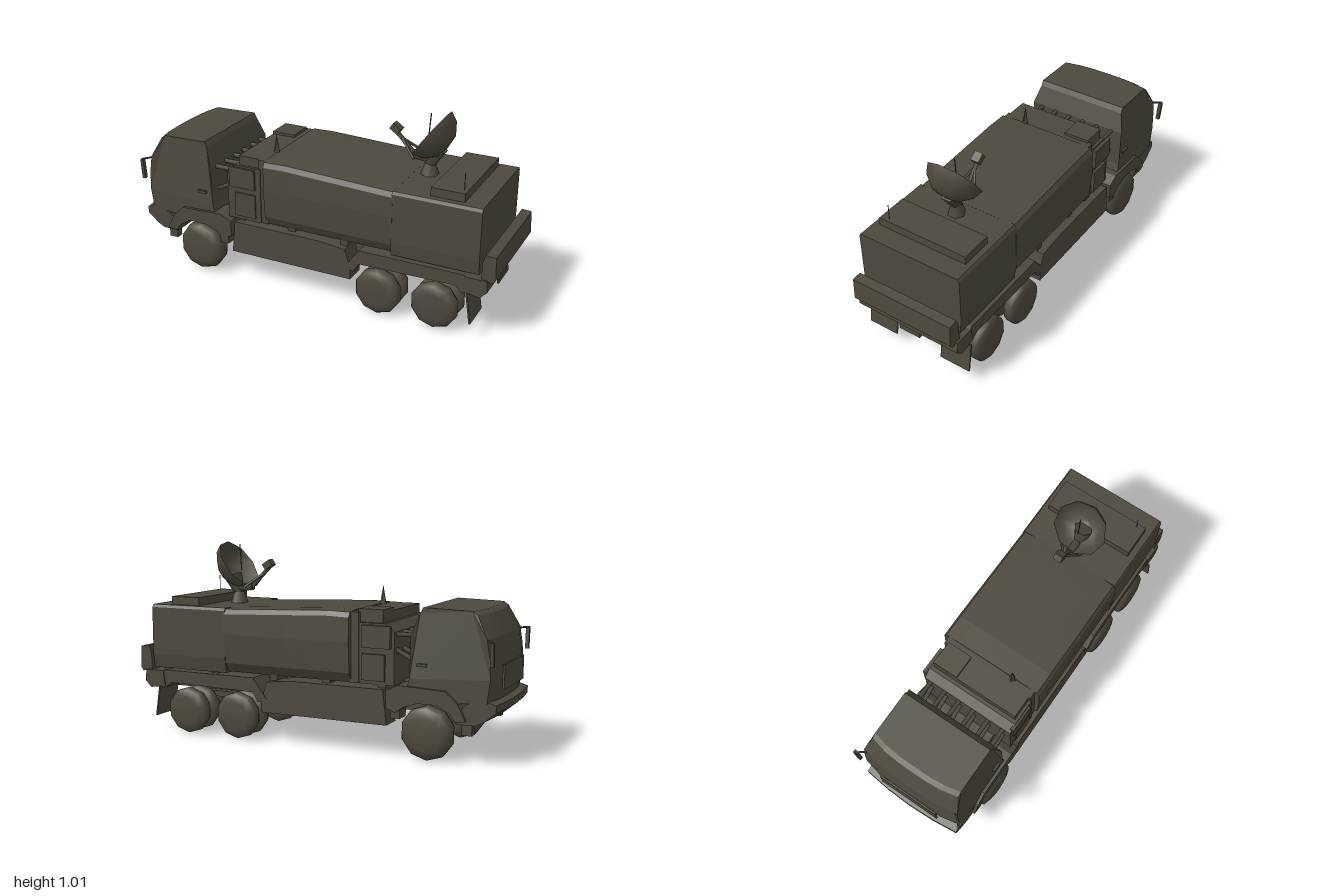
import * as THREE from 'three';

const olive = new THREE.MeshStandardMaterial({ color: 0x4d483d, side: THREE.DoubleSide });
olive.name = 'dark olive';

export function createModel() {
  const root = new THREE.Group();
  root.name = 'tankTruck';

  const add = (name, geo, x = 0, y = 0, z = 0) => {
    const m = new THREE.Mesh(geo, olive);
    m.name = name;
    m.position.set(x, y, z);
    root.add(m);
    return m;
  };
  // box given by its limits
  const box = (name, x0, x1, y0, y1, z0, z1) =>
    add(name, new THREE.BoxGeometry(x1 - x0, y1 - y0, z1 - z0), (x0 + x1) / 2, (y0 + y1) / 2, (z0 + z1) / 2);
  const vectors = pts => pts.map(p => new THREE.Vector2(...p));
  // side profile (x, y) swept across z
  const sideGeo = (pts, z0, z1, steps = 1) =>
    new THREE.ExtrudeGeometry(new THREE.Shape(vectors(pts)), { depth: z1 - z0, steps, bevelEnabled: false }).translate(0, 0, z0);
  // end profile (z, y) swept along x
  const endGeo = (pts, x0, x1, steps = 1) =>
    new THREE.ExtrudeGeometry(new THREE.Shape(vectors(pts.map(([z, y]) => [-z, y]))), { depth: x1 - x0, steps, bevelEnabled: false })
      .rotateY(Math.PI / 2).translate(x0, 0, 0);
  // move every vertex by a rule
  const warp = (geo, rule) => {
    const p = geo.attributes.position;
    const v = new THREE.Vector3();
    for (let i = 0; i < p.count; i++) {
      rule(v.fromBufferAttribute(p, i));
      p.setXYZ(i, v.x, v.y, v.z);
    }
    geo.computeVertexNormals();
    return geo;
  };
  // round bar between two points
  const bar = (name, a, b, r = 0.01) => {
    const s = new THREE.Vector3(...a), e = new THREE.Vector3(...b);
    const m = add(name, new THREE.CylinderGeometry(r, r, s.distanceTo(e), 6), ...s.clone().add(e).multiplyScalar(0.5));
    m.quaternion.setFromUnitVectors(new THREE.Vector3(0, 1, 0), e.sub(s).normalize());
    return m;
  };

  // Cab, narrower at the roof, with a bowed nose
  const cabGeo = sideGeo([[-0.95, 0.31], [-0.965, 0.42], [-0.96, 0.52], [-0.945, 0.61], [-0.89, 0.715], [-0.865, 0.732],
    [-0.61, 0.738], [-0.595, 0.71], [-0.56, 0.61], [-0.555, 0.4], [-0.54, 0.35], [-0.8, 0.3]], -0.285, 0.28, 6);
  add('cab', warp(cabGeo, v => {
    const edge = Math.abs(v.z) / 0.285;
    if (v.x < -0.86) v.x += 0.028 * edge ** 3 - 0.014;
    if (v.y > 0.7) v.z *= 0.9;
  }));
  box('grille', -0.985, -0.975, 0.36, 0.48, -0.17, 0.17);
  box('engine', -0.9, -0.46, 0.22, 0.36, -0.16, 0.16);

  // Front bumper and wheel arches
  add('frontBumper', warp(sideGeo([[-1, 0.305], [-1, 0.27], [-0.94, 0.22], [-0.88, 0.2], [-0.79, 0.2], [-0.78, 0.24],
    [-0.84, 0.3], [-0.95, 0.32]], -0.28, 0.28, 4), v => { if (v.x < -0.9) v.x += 0.02 * (Math.abs(v.z) / 0.28) ** 2; }));
  const arch = [[-0.84, 0.22], [-0.8, 0.3], [-0.74, 0.355], [-0.5, 0.365], [-0.44, 0.335], [-0.44, 0.25],
    [-0.49, 0.23], [-0.53, 0.26], [-0.6, 0.285], [-0.7, 0.285], [-0.76, 0.25], [-0.79, 0.21]];
  for (const s of [1, -1]) {
    add('frontArch', sideGeo(arch, s > 0 ? 0.17 : -0.3, s > 0 ? 0.295 : -0.17));
    box('fogLamp', -0.86, -0.81, 0.145, 0.2, s * 0.24 - 0.02, s * 0.24 + 0.02);
    box('cabStep', -0.51, -0.46, 0.2, 0.3, s * 0.25 - 0.04, s * 0.25 + 0.04);
    box('doorHandle', -0.64, -0.59, 0.46, 0.475, s * 0.283 - 0.006, s * 0.283 + 0.006);
    // Mirror with bent arm
    bar('mirrorArm', [-0.92, 0.6, s * 0.25], [-0.97, 0.6, s * 0.315], 0.005);
    const mirror = add('mirror', new THREE.BoxGeometry(0.018, 0.11, 0.02), -0.965, 0.545, s * 0.31);
    mirror.rotation.x = s * 0.08;
  }

  // Wheels with bulging outer faces: singles in front, twins at the back
  const tyre = (w, r) => new THREE.LatheGeometry(vectors([[0, -w / 2], [r * 0.6, -w / 2], [r * 0.92, -w * 0.36], [r, -w * 0.1],
    [r, w * 0.15], [r * 0.9, w * 0.38], [r * 0.6, w / 2], [0, w * 0.52]]), 10).rotateX(Math.PI / 2);
  const wheel = (name, x, r, z, w) => { add(name, tyre(w, r), x, r + 0.005, z).rotation.y = z < 0 ? Math.PI : 0; };
  for (const s of [1, -1]) {
    wheel('frontWheel', -0.64, 0.134, s * 0.25, 0.11);
    for (const x of [0.4, 0.7]) {
      wheel('rearOuterWheel', x, 0.123, s * 0.268, 0.08);
      wheel('rearInnerWheel', x, 0.121, s * 0.168, 0.075);
    }
  }
  for (const x of [-0.64, 0.4, 0.7]) {
    bar('axle', [x, 0.135, -0.25], [x, 0.135, 0.25], 0.02);
    if (x > 0) add('differential', new THREE.SphereGeometry(0.05, 8, 6), x, 0.14, 0);
  }
  bar('driveShaft', [-0.5, 0.23, 0], [0.7, 0.15, 0], 0.014);

  // Chassis
  for (const s of [1, -1]) {
    box('frameRail', -0.9, 0.93, 0.22, 0.31, s * 0.1 - 0.018, s * 0.1 + 0.018);
    // Side lockers below the tank
    const z0 = s > 0 ? 0.17 : -0.288, z1 = s > 0 ? 0.285 : -0.17;
    add('sideLocker', sideGeo([[-0.44, 0.16], [0.25, 0.16], [0.25, 0.22], [0.22, 0.32], [0.08, 0.335], [-0.42, 0.335]], z0, z1));
    // Rear mudguard rail
    add('rearMudguard', sideGeo([[0.22, 0.23], [0.27, 0.21], [0.3, 0.26], [0.8, 0.27], [0.84, 0.24], [0.9, 0.24],
      [0.92, 0.31], [0.84, 0.335], [0.3, 0.335]], s > 0 ? 0.14 : -0.29, s > 0 ? 0.29 : -0.14));
    const flap = add('mudFlap', new THREE.BoxGeometry(0.008, 0.16, 0.17), 0.88, 0.165, s * 0.22);
    flap.rotation.z = 0.15;
    box('leafSpring', 0.33, 0.77, 0.18, 0.21, s * 0.1 - 0.02, s * 0.1 + 0.02);
  }
  for (const x of [-0.4, -0.1, 0.2, 0.55, 0.85]) {
    box('crossMember', x - 0.03, x + 0.03, 0.23, 0.3, -0.1, 0.1);
    box('tankSupport', x - 0.02, x + 0.02, 0.3, 0.36, -0.25, 0.25);
  }
  box('subFrame', -0.48, 0.93, 0.3, 0.335, -0.14, 0.14);

  // Equipment rack behind the cab, sloping at its front top edge
  add('rackBody', sideGeo([[-0.465, 0.35], [-0.27, 0.35], [-0.27, 0.65], [-0.42, 0.65], [-0.465, 0.61]], -0.255, 0.265));
  box('rackTopBox', -0.4, -0.27, 0.64, 0.715, -0.24, -0.1);
  box('rackTank', -0.4, -0.27, 0.64, 0.7, -0.1, 0.25);
  box('rackBackWall', -0.28, -0.23, 0.35, 0.7, -0.26, 0.26);
  for (const s of [1, -1]) {
    box('rackPanel', -0.45, -0.3, 0.53, 0.64, s * 0.266 - 0.01, s * 0.266 + 0.01);
    box('rackLowerPanel', -0.42, -0.3, 0.37, 0.5, s * 0.265 - 0.008, s * 0.265 + 0.008);
  }
  for (let i = 0; i < 6; i++) {
    const z = -0.22 + i * 0.088;
    bar('rackHose', [-0.56, 0.6, z], [-0.45, 0.6, z], 0.012);
    bar('lowerHose', [-0.55, 0.48, z], [-0.45, 0.53, z], 0.012);
  }
  add('rackSpike', new THREE.ConeGeometry(0.022, 0.12, 4), -0.245, 0.74, 0.13);

  // Tank with square shoulders, highest near the front
  const tankEnd = [[-0.25, 0.35], [0.25, 0.35], [0.278, 0.4], [0.288, 0.55], [0.286, 0.67], [0.272, 0.695],
    [0.2, 0.702], [-0.2, 0.702], [-0.275, 0.695], [-0.29, 0.67], [-0.294, 0.55], [-0.283, 0.4]];
  add('tank', warp(endGeo(tankEnd, -0.24, 0.47, 6), v => {
    if (v.y > 0.6) v.y += 0.008 - 0.04 * Math.abs(v.x + 0.14);
  }));

  // Rear body
  const bodyEnd = [[-0.275, 0.345], [0.275, 0.345], [0.286, 0.42], [0.286, 0.67], [0.278, 0.685], [-0.278, 0.685],
    [-0.288, 0.67], [-0.288, 0.42]];
  add('rearBody', endGeo(bodyEnd, 0.465, 0.915));
  box('roofLocker', 0.645, 0.815, 0.68, 0.728, -0.25, 0.245);
  bar('aerial', [0.795, 0.68, 0.2], [0.795, 0.81, 0.2], 0.002);

  // Tail panel and rear bumper
  add('tailPanel', sideGeo([[0.93, 0.33], [0.985, 0.32], [1, 0.34], [0.995, 0.455], [0.945, 0.46], [0.93, 0.42]], -0.285, 0.285));
  add('rearBumper', sideGeo([[0.84, 0.25], [0.93, 0.235], [0.965, 0.27], [0.96, 0.33], [0.85, 0.33]], -0.295, 0.295));
  box('towBlock', 0.9, 0.95, 0.22, 0.3, -0.06, 0.06);

  // Deep dish on its flared pedestal, opening forward and up
  add('dishPedestal', new THREE.CylinderGeometry(0.028, 0.05, 0.07, 6), 0.545, 0.71, 0);
  add('dishNeck', new THREE.CylinderGeometry(0.05, 0.026, 0.1, 6), 0.565, 0.785, 0).rotation.z = -0.4;
  const bowl = new THREE.LatheGeometry(vectors([[0, -0.095], [0.07, -0.085], [0.125, -0.04], [0.145, 0.01]]), 9);
  add('dish', bowl, 0.553, 0.89, 0).rotation.z = 0.95;
  bar('feedArm', [0.48, 0.76, 0], [0.36, 0.88, 0], 0.011);
  for (const s of [1, -1]) bar('feedStrut', [0.48, 0.775, s * 0.06], [0.39, 0.85, 0], 0.007);
  bar('feedBrace', [0.55, 0.765, 0], [0.46, 0.775, 0], 0.022);
  add('feedHorn', new THREE.BoxGeometry(0.05, 0.035, 0.045), 0.362, 0.895, 0).rotation.z = -0.6;
  bar('dishRod', [0.53, 0.86, 0], [0.54, 1.0, 0], 0.003);

  return root;
}
